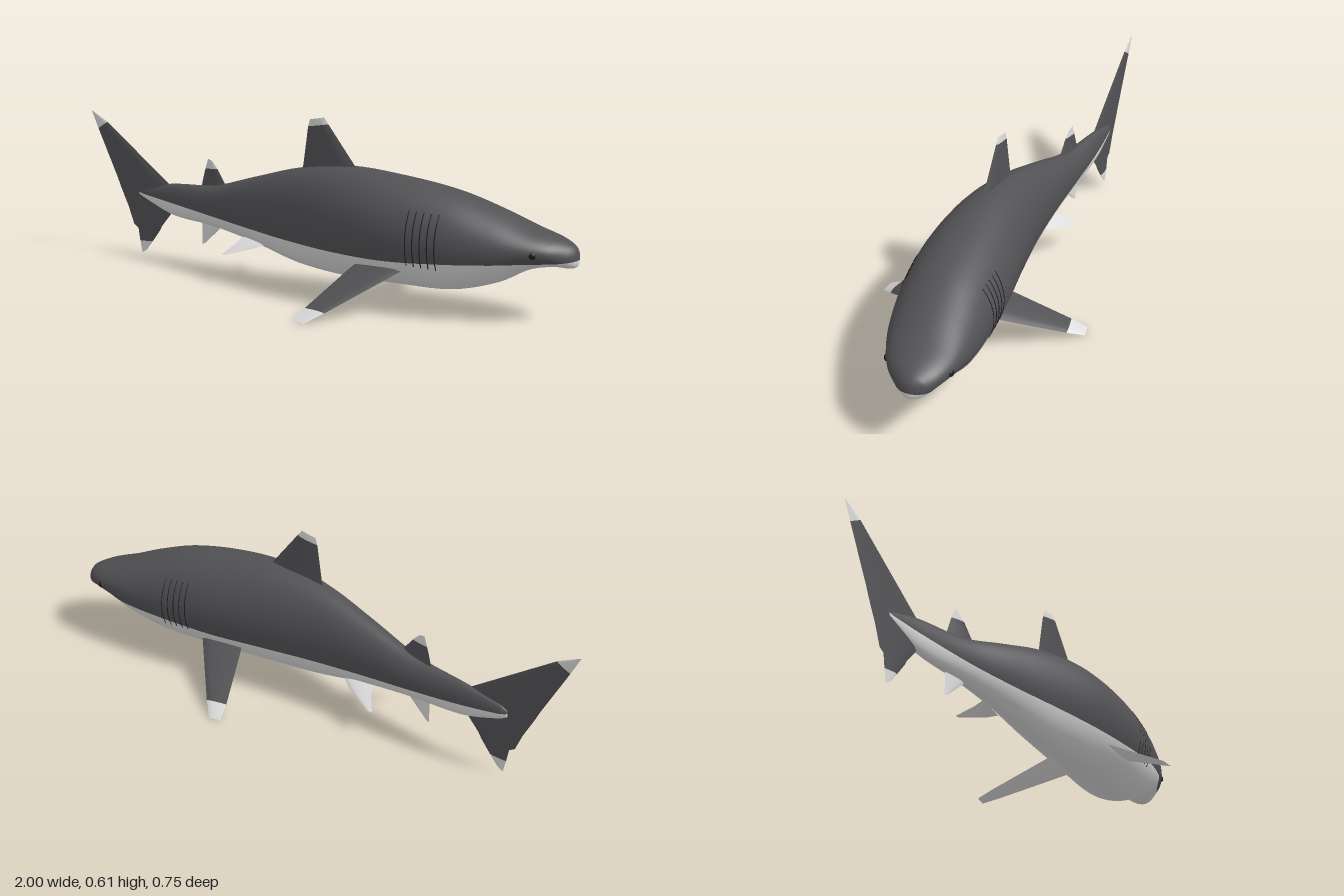
import * as THREE from 'three';

const flat = (name, color) => {
  const m = new THREE.MeshStandardMaterial({ color });
  m.name = name;
  return m;
};

// Body stations: x, top y, bottom y, z at right flank, z at left flank, y of colour line
const STATIONS = [
  [-0.765, 0.262, 0.236, -0.122, -0.104, 0.252],
  [-0.74, 0.275, 0.222, -0.127, -0.1, 0.247],
  [-0.6, 0.3, 0.18, -0.13, -0.075, 0.232],
  [-0.4, 0.318, 0.165, -0.125, -0.03, 0.213],
  [-0.2, 0.375, 0.135, -0.122, 0.027, 0.198],
  [0, 0.43, 0.092, -0.126, 0.083, 0.187],
  [0.2, 0.455, 0.075, -0.147, 0.13, 0.18],
  [0.4, 0.44, 0.075, -0.173, 0.152, 0.179],
  [0.6, 0.405, 0.078, -0.185, 0.137, 0.19],
  [0.75, 0.353, 0.118, -0.188, 0.104, 0.199],
  [0.85, 0.31, 0.17, -0.179, 0.066, 0.204],
  [0.93, 0.283, 0.187, -0.157, 0.023, 0.206],
  [0.975, 0.262, 0.183, -0.13, -0.022, 0.209],
  [0.993, 0.245, 0.188, -0.105, -0.047, 0.211],
  [1, 0.225, 0.2, -0.085, -0.067, 0.212],
];

// Smooth interpolation of the stations
function station(x) {
  const S = STATIONS, last = S.length - 1;
  let i = 0;
  while (i < last - 1 && x > S[i + 1][0]) i++;
  const a = S[i], b = S[i + 1], p = S[Math.max(i - 1, 0)], q = S[Math.min(i + 2, last)];
  const d = b[0] - a[0], t = (x - a[0]) / d;
  const v = k => {
    const m0 = (b[k] - p[k]) / (b[0] - p[0]) * d, m1 = (q[k] - a[k]) / (q[0] - a[0]) * d;
    return a[k] * (2 * t ** 3 - 3 * t * t + 1) + m0 * (t ** 3 - 2 * t * t + t)
      + b[k] * (3 * t * t - 2 * t ** 3) + m1 * (t ** 3 - t * t);
  };
  const top = v(1), bottom = v(2), right = v(3), left = v(4);
  return { y: (top + bottom) / 2, h: (top - bottom) / 2, z: (left + right) / 2, w: (left - right) / 2, line: v(5) };
}
const angleAt = (s, y) => Math.asin(THREE.MathUtils.clamp((y - s.y) / s.h, -0.95, 0.95));

// Point on the flank at a given x and y; side +1 is left
function flank(x, y, side) {
  const s = station(x);
  return new THREE.Vector3(x, y, s.z + side * s.w * Math.cos(angleAt(s, y)));
}

// Lofted body: dark back columns first, pale belly columns after
function bodyGeometry() {
  const back = 28, belly = 20, cols = back + belly, pos = [], xs = [];
  for (let i = 0; i < STATIONS.length - 1; i++) {
    const a = STATIONS[i][0], b = STATIONS[i + 1][0];
    for (let k = 0; k < 5; k++) xs.push(a + (b - a) * k / 5);
  }
  xs.push(1);
  for (const x of xs) {
    const s = station(x), a0 = angleAt(s, s.line);
    for (let j = 0; j < cols; j++) {
      const a = j < back ? a0 + (Math.PI - 2 * a0) * j / back
        : Math.PI - a0 + (Math.PI + 2 * a0) * (j - back) / belly;
      pos.push(x, s.y + s.h * Math.sin(a), s.z + s.w * Math.cos(a));
    }
  }
  // end caps
  const tail = pos.length / 3, nose = tail + 1, end = (xs.length - 1) * cols;
  for (const x of [xs[0], 1]) { const s = station(x); pos.push(x, s.y, s.z); }
  const index = [], g = new THREE.BufferGeometry();
  [[0, back], [back, cols]].forEach(([from, to], m) => {
    const start = index.length;
    for (let j = from; j < to; j++) {
      const n = (j + 1) % cols;
      for (let i = 0; i < xs.length - 1; i++) {
        const r = i * cols, q = r + cols;
        index.push(r + j, q + j, r + n, r + n, q + j, q + n);
      }
      index.push(tail, j, n, nose, end + n, end + j);
    }
    g.addGroup(start, index.length - start, m);
  });
  g.setAttribute('position', new THREE.Float32BufferAttribute(pos, 3));
  g.setIndex(index);
  g.computeVertexNormals();
  return g;
}

// Fin from rows of [trailing point, leading point, half thickness, tip flag of the strip after it].
// Material groups: 0 and 1 are the two faces, 2 is the tip.
function finGeometry(rows) {
  const n = 8, pos = [], index = [], g = new THREE.BufferGeometry();
  const V = p => new THREE.Vector3(...p);
  const chord = V(rows[1][1]).sub(V(rows[1][0]));
  const span = V(rows[rows.length - 1][0]).sub(V(rows[0][0]));
  const normal = chord.cross(span).normalize();
  for (const side of [1, -1]) for (const [a, b, half] of rows) for (let j = 0; j <= n; j++) {
    const t = j / n, thick = half * 2.6 * t * Math.sqrt(1.0001 - t);
    const p = V(a).lerp(V(b), t).addScaledVector(normal, side * thick);
    pos.push(p.x, p.y, p.z);
  }
  for (let s = 0; s < 2; s++) for (let i = 0; i < rows.length - 1; i++) {
    const start = index.length;
    for (let j = 0; j < n; j++) {
      const a = (s * rows.length + i) * (n + 1) + j, b = a + 1, c = a + n + 1, d = c + 1;
      if (s === 0) index.push(a, b, c, b, d, c);
      else index.push(a, c, b, b, c, d);
    }
    g.addGroup(start, index.length - start, rows[i][3] ? 2 : s);
  }
  g.setAttribute('position', new THREE.Float32BufferAttribute(pos, 3));
  g.setIndex(index);
  g.computeVertexNormals();
  return g;
}

export function createModel() {
  const model = new THREE.Group();
  model.name = 'shark';
  const dark = flat('dark grey skin', 0x525154);
  const pale = flat('pale belly', 0xdcdcdc);
  const black = flat('black', 0x1c1c1e);
  const add = (name, geometry, material) => {
    const mesh = new THREE.Mesh(geometry, material);
    mesh.name = name;
    model.add(mesh);
    return mesh;
  };

  add('body', bodyGeometry(), [dark, pale]);

  // Fins along the back and tail
  add('dorsalFin', finGeometry([
    [[0.005, 0.4, -0.014], [0.26, 0.43, 0], 0.011],
    [[0.015, 0.45, -0.012], [0.222, 0.46, -0.001], 0.009],
    [[0.035, 0.578, -0.008], [0.118, 0.592, -0.003], 0.005, true],
    [[0.043, 0.603, -0.007], [0.1, 0.614, -0.004], 0.0015],
  ]), [dark, dark, pale]);
  add('secondDorsalFin', finGeometry([
    [[-0.47, 0.295, -0.09], [-0.33, 0.31, -0.062], 0.007],
    [[-0.462, 0.325, -0.088], [-0.352, 0.335, -0.066], 0.005],
    [[-0.446, 0.375, -0.084], [-0.385, 0.38, -0.072], 0.003, true],
    [[-0.432, 0.412, -0.081], [-0.412, 0.408, -0.078], 0.001],
  ]), [dark, dark, pale]);
  add('analFin', finGeometry([
    [[-0.47, 0.195, -0.09], [-0.36, 0.185, -0.072], 0.005],
    [[-0.467, 0.165, -0.089], [-0.382, 0.155, -0.075], 0.004],
    [[-0.466, 0.088, -0.089], [-0.452, 0.094, -0.086], 0.001],
  ]), pale);
  const tailPoint = (x, y) => [x, y, -0.11 + 0.06 * (x + 0.76)];
  add('tailFin', finGeometry([
    [-0.76, 0.016, -0.738, 0.03, 0.001, true],
    [-0.77, 0.062, -0.708, 0.066, 0.003],
    [-0.778, 0.11, -0.672, 0.112, 0.004],
    [-0.798, 0.122, -0.662, 0.13, 0.005],
    [-0.825, 0.19, -0.61, 0.19, 0.007],
    [-0.86, 0.26, -0.6, 0.28, 0.008],
    [-0.878, 0.3, -0.64, 0.308, 0.006],
    [-0.968, 0.478, -0.92, 0.506, 0.003, true],
    [-1, 0.545, -0.99, 0.541, 0.0007],
  ].map(([x0, y0, x1, y1, t, tip]) => [tailPoint(x0, y0), tailPoint(x1, y1), t, tip])), [dark, dark, pale]);

  for (const side of [1, -1]) {
    const label = side > 0 ? 'left' : 'right';

    // Pectoral fins: dark above, pale below and at the tips
    add(label + 'PectoralFin', finGeometry([
      [[0.3, 0.165, side * 0.09], [0.49, 0.165, side * 0.09], 0.009],
      [[0.277, 0.135, side * 0.14], [0.445, 0.135, side * 0.14], 0.008],
      [[0.214, 0.035, side * 0.315], [0.292, 0.03, side * 0.325], 0.004, true],
      [[0.2, 0.005, side * 0.368], [0.245, 0.001, side * 0.375], 0.001],
    ]), side > 0 ? [pale, dark, pale] : [dark, pale, pale]);

    // Pelvic fins
    const z = d => -0.05 + side * d;
    add(label + 'PelvicFin', finGeometry([
      [[-0.245, 0.155, z(0.03)], [-0.13, 0.145, z(0.04)], 0.005],
      [[-0.25, 0.138, z(0.06)], [-0.165, 0.13, z(0.065)], 0.004],
      [[-0.285, 0.1, z(0.11)], [-0.268, 0.101, z(0.112)], 0.001],
    ]), pale);

    // Gill slits hugging the flank
    for (let k = 0; k < 5; k++) {
      const pts = [];
      for (let i = 0; i <= 8; i++) pts.push(flank(0.49 + k * 0.025, 0.175 + i * 0.0225 - k * 0.002, side));
      add(label + 'GillSlit' + (k + 1),
        new THREE.TubeGeometry(new THREE.CatmullRomCurve3(pts), 24, 0.0018, 5), black);
    }

    // Eye
    const eye = add(label + 'Eye', new THREE.SphereGeometry(0.011, 16, 12), black);
    eye.position.copy(flank(0.89, 0.236, side));
    eye.scale.set(1, 1, 0.5);
    eye.rotation.y = side * 0.5;
  }
  return model;
}
